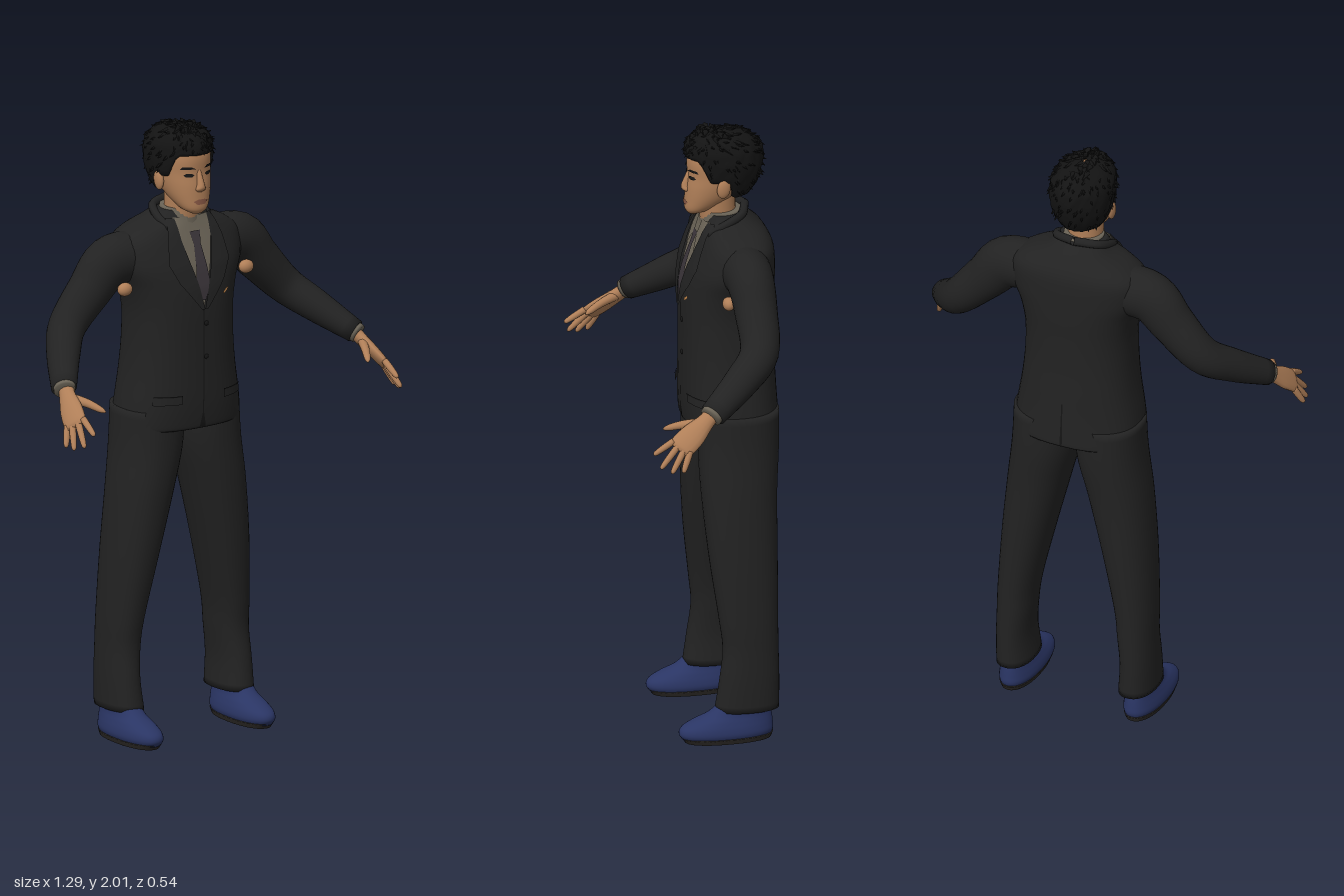
import * as THREE from 'three';
import { mergeGeometries } from 'three/addons/utils/BufferGeometryUtils.js';

const V = (x, y, z) => new THREE.Vector3(x, y, z);
const mat = (name, color) => {
  const m = new THREE.MeshStandardMaterial({ color, side: THREE.DoubleSide });
  m.name = name;
  return m;
};

// Grid of points (rows of equal length) to a smooth geometry; optionally closed round and capped
function grid(rows, closed, capped) {
  const n = rows[0].length, pos = [], idx = [];
  rows.flat().forEach(p => pos.push(p.x, p.y, p.z));
  for (let i = 0; i < rows.length - 1; i++)
    for (let j = 0; j < (closed ? n : n - 1); j++) {
      const k = (j + 1) % n, a = i * n + j, b = i * n + k;
      idx.push(a, a + n, b, b, a + n, b + n);
    }
  if (capped) [0, rows.length - 1].forEach((r, end) => {
    const c = rows[r].reduce((s, p) => s.add(p), V(0, 0, 0)).divideScalar(n);
    const id = pos.length / 3;
    pos.push(c.x, c.y, c.z);
    for (let j = 0; j < n; j++) {
      const a = r * n + j, b = r * n + (j + 1) % n;
      idx.push(id, end ? b : a, end ? a : b);
    }
  });
  const g = new THREE.BufferGeometry();
  g.setAttribute('position', new THREE.Float32BufferAttribute(pos, 3));
  g.setIndex(idx);
  g.computeVertexNormals();
  return g;
}

// Rounded tube through sections [x, y, z, a, b]; rings stay level unless a ref direction is given
function sweep(sections, { ref = null, p = 1, sides = 28, steps = 5 } = {}) {
  const path = new THREE.CatmullRomCurve3(sections.map(s => V(s[0], s[1], s[2])), false, 'catmullrom');
  const size = new THREE.CatmullRomCurve3(sections.map(s => V(s[3], s[4], 0)), false, 'catmullrom');
  const rows = [], count = (sections.length - 1) * steps;
  for (let i = 0; i <= count; i++) {
    const c = path.getPoint(i / count), r = size.getPoint(i / count);
    let s = V(1, 0, 0), n = V(0, 0, 1);
    if (ref) {
      const T = path.getTangent(i / count);
      s = ref.clone().cross(T).normalize();
      n = s.clone().cross(T);
    }
    rows.push(Array.from({ length: sides }, (_, j) => {
      const t = j / sides * Math.PI * 2, f = v => Math.sign(v) * Math.abs(v) ** p;
      return c.clone().addScaledVector(s, r.x * f(Math.cos(t))).addScaledVector(n, r.y * f(Math.sin(t)));
    }));
  }
  return grid(rows, true, true);
}

// Upright form from [y, halfWidth, zFront, zBack, centreX]; can report its surface for draped plates
function form(list, p = 1) {
  const sections = list.map(([y, w, f, b, x = 0]) => [x, y, (f + b) / 2, w, (f - b) / 2]);
  const at = y => {
    let i = 0;
    while (i < list.length - 2 && list[i + 1][0] < y) i++;
    const k = THREE.MathUtils.clamp((y - list[i][0]) / (list[i + 1][0] - list[i][0]), 0, 1);
    return sections[i].map((v, j) => v + (sections[i + 1][j] - v) * k);
  };
  const surface = (x, y, side = 1) => {
    const [, , cz, a, b] = at(y);
    return cz + side * b * Math.max(0, 1 - Math.abs(x / a) ** (2 / p)) ** (p / 2);
  };
  return { geo: sweep(sections, { p, sides: 40 }), at, surface };
}

// Thin plate lying on a form, between x0 and x1 at each row [y, x0, x1]
function drape(base, list, off, side = 1) {
  const rows = [];
  for (let i = 0; i < list.length - 1; i++)
    for (let k = i ? 1 : 0; k <= 5; k++) {
      const [y, a, b] = list[i].map((v, j) => v + (list[i + 1][j] - v) * k / 5);
      rows.push(Array.from({ length: 9 }, (_, j) => {
        const x = a + (b - a) * j / 8;
        return V(x, y, base.surface(x, y, side) + side * off);
      }));
    }
  return grid(rows, false, false);
}

export function createModel() {
  const root = new THREE.Group();
  const suit = mat('suit black', 0x222222), seam = mat('seam black', 0x151515), skin = mat('skin', 0xb07f58),
    hairM = mat('hair', 0x131313), shirt = mat('shirt grey', 0x6a6356), tieM = mat('tie plum', 0x3b353a),
    shoeM = mat('shoe blue', 0x2a3564), soleM = mat('sole', 0x2b2825), lipM = mat('lips', 0x8a5945), pinM = mat('pin', 0xc58a50);
  const add = (name, geo, m) => {
    const mesh = new THREE.Mesh(geo, m);
    mesh.name = name;
    root.add(mesh);
    return mesh;
  };
  const ball = (name, m, x, y, z, a, b, c) => {
    const e = add(name, new THREE.SphereGeometry(1, 20, 14), m);
    e.position.set(x, y, z);
    e.scale.set(a, b, c);
    return e;
  };

  // Jacket
  const jacket = form([[1.015, .212, .03, -.265], [1.03, .214, .035, -.266], [1.1, .205, .04, -.26], [1.2, .189, .04, -.255],
    [1.3, .18, .04, -.25], [1.4, .18, .04, -.25], [1.48, .196, .035, -.252], [1.55, .225, .02, -.25],
    [1.62, .225, -.005, -.245], [1.66, .18, -.02, -.228], [1.69, .11, -.03, -.2], [1.72, .075, -.04, -.165]], .82);
  add('jacket', jacket.geo, suit);
  add('shirtFront', drape(jacket, [[1.7, -.065, .065], [1.62, -.058, .058], [1.52, -.03, .03], [1.42, -.002, .002]], .005), shirt);
  add('tie', drape(jacket, [[1.655, -.02, .02], [1.615, -.013, .013], [1.5, -.026, .026], [1.44, -.007, .007]], .01), tieM);
  add('frontSeam', drape(jacket, [[1.42, -.002, .002], [1.07, -.002, .002], [1.02, -.012, .012]], .003), seam);
  add('backVent', drape(jacket, [[1.17, -.002, .002], [1.02, -.004, .004]], .003, -1), seam);
  add('lapelPin', drape(jacket, [[1.468, .088, .096], [1.458, .074, .09], [1.45, .07, .078]], .017), pinM);
  for (const y of [1.25, 1.36]) ball('button', seam, .012, y, jacket.surface(0, y), .008, .008, .005);

  // Collars and neck
  add('neck', sweep([[0, 1.62, -.09, .06, .06], [0, 1.7, -.08, .057, .058], [0, 1.79, -.075, .058, .06]]), skin);
  add('shirtCollar', sweep([[0, 1.64, -.095, .078, .078], [0, 1.69, -.092, .072, .07], [0, 1.728, -.09, .064, .065]]), shirt);

  for (const s of [1, -1]) {
    const side = s > 0 ? 'left' : 'right', M = (x, y, z) => V(s * x, y, z);
    add(side + 'Lapel', drape(jacket, [[1.7, s * .062, s * .085], [1.63, s * .056, s * .105], [1.56, s * .04, s * .115], [1.5, s * .022, s * .085], [1.41, 0, s * .012]], .012), suit);
    add(side + 'CollarLeaf', drape(jacket, [[1.7, s * .02, s * .066], [1.65, s * .015, s * .062], [1.6, s * .04, s * .048]], .009), shirt);
    add(side + 'PocketFlap', drape(jacket, [[1.13, s * .08, s * .165], [1.105, s * .08, s * .168]], .006), suit);
    add(side + 'PocketSeam', drape(jacket, [[1.134, s * .08, s * .165], [1.13, s * .08, s * .165]], .008), seam);
    const fold = new THREE.CatmullRomCurve3([M(.075, 1.665, -.03), M(.088, 1.695, -.08), M(.07, 1.722, -.14), M(0, 1.732, -.168)]);
    add(side + 'JacketCollar', new THREE.TubeGeometry(fold, 16, .014, 8), suit);

    // Sleeve, cuff and underarm gap
    const ref = V(0, 0, 1);
    add(side + 'Sleeve', sweep([[.14, 1.575, -.125, .08, .085], [.25, 1.563, -.125, .085, .075], [.325, 1.487, -.125, .073, .068],
      [.42, 1.387, -.112, .06, .062], [.49, 1.322, -.035, .052, .055], [.565, 1.25, .075, .037, .043]].map(q => [s * q[0], ...q.slice(1)]), { ref }), suit);
    add(side + 'Cuff', sweep([[s * .555, 1.26, .062, .033, .038], [s * .57, 1.243, .086, .031, .036]], { ref }), shirt);
    ball(side + 'Underarm', skin, s * .235, 1.488, -.058, .026, .022, .02);

    // Hand
    const spread = M(.47, -.47, -.75), palmUp = M(.3, -.6, .7).cross(spread).normalize();
    const part = (name, pts) => add(side + name, sweep(pts.map(q => [s * q[0], ...q.slice(1)]), { ref: palmUp, sides: 14 }), skin);
    part('Palm', [[.555, 1.255, .07, .027, .022], [.57, 1.23, .1, .028, .02], [.587, 1.195, .145, .04, .018],
      [.6, 1.165, .185, .041, .014], [.605, 1.155, .197, .032, .006]]);
    const finger = (name, a, b, r) => {
      const q = k => a.map((v, i) => v + (b[i] - v) * k);
      part(name, [[...q(0), r, r], [...q(.5), r * .95, r * .95], [...q(.9), r * .7, r * .7], [...q(1), r * .2, r * .2]]);
    };
    [['IndexFinger', -.032, [.588, 1.14, .275]], ['MiddleFinger', -.011, [.614, 1.1, .258]],
      ['RingFinger', .011, [.632, 1.088, .226]], ['LittleFinger', .03, [.638, 1.09, .19]]].forEach(([name, k, tip]) =>
      finger(name, [.6 + k * .47, 1.165 - k * .47, .185 - k * .75], tip, .011));
    part('Thumb', [[.568, 1.225, .11, .017, .016], [.54, 1.215, .165, .014, .013], [.518, 1.2, .208, .01, .01], [.509, 1.193, .224, .003, .003]]);

    // Trouser leg and shoe
    const leg = form([[.1, .06, -.018, -.226, .213], [.2, .056, -.033, -.226, .216], [.3, .059, -.045, -.225, .21], [.4, .064, -.035, -.225, .203],
      [.6, .081, -.01, -.23, .175], [.8, .097, .006, -.236, .141], [.95, .107, .01, -.248, .113], [1.08, .108, .01, -.25, .105]].map(q => [...q.slice(0, 4), s * q[4]]), .9);
    add(side + 'TrouserLeg', leg.geo, suit);
    const cx = s * .217;
    add(side + 'Shoe', form([[.012, .056, .09, -.2, cx], [.03, .062, .1, -.206, cx], [.05, .06, .092, -.205, cx],
      [.07, .054, .058, -.203, cx], [.09, .048, .01, -.2, cx], [.12, .045, -.03, -.195, cx]], .9).geo, shoeM);
    add(side + 'Sole', form([[0, .054, .08, -.198, cx], [.018, .06, .094, -.206, cx]], .9).geo, soleM);
  }

  // Head
  const head = form([[1.718, .02, .018, -.02], [1.735, .045, .028, -.06], [1.77, .066, .027, -.12], [1.81, .08, .024, -.17],
    [1.85, .086, .018, -.19], [1.9, .086, .018, -.19], [1.95, .07, 0, -.17], [1.98, .03, -.04, -.13]], .92);
  add('head', head.geo, skin);
  add('nose', sweep([[0, 1.79, .018, .012, .008], [0, 1.8, .024, .018, .014], [0, 1.815, .023, .013, .016], [0, 1.85, .014, .009, .01], [0, 1.865, .012, .004, .004]], { sides: 16 }), skin);
  add('lips', drape(head, [[1.767, -.012, .012], [1.761, -.027, .027], [1.75, -.014, .014]], .003), lipM);
  for (const s of [1, -1]) {
    add('eyebrow', drape(head, [[1.874, s * .03, s * .055], [1.866, s * .015, s * .06]], .004), hairM);
    add('eye', drape(head, [[1.852, s * .028, s * .045], [1.847, s * .02, s * .052], [1.841, s * .028, s * .045]], .003), seam);
    ball('ear', skin, s * .09, 1.822, -.078, .012, .033, .022).rotation.x = -.15;
  }

  // Hair cap with an uneven hairline, then short tufts over it
  const cap = form([[1.76, .06, 0, -.165], [1.8, .084, .01, -.2], [1.85, .098, .02, -.22], [1.9, .103, .027, -.226], [1.94, .098, .027, -.22],
    [1.97, .078, .012, -.19], [1.985, .05, -.02, -.16], [1.993, .008, -.08, -.1]]);
  let seed = 7;
  const rnd = () => (seed = (seed * 16807) % 2147483647) / 2147483647;
  const onCap = (t, v, k = 1) => {
    const f = Math.sin(t), ss = THREE.MathUtils.smoothstep;
    const low = 1.78 + .06 * ss(f, -.3, .1) + .072 * ss(f, .5, .78);
    const y = low + (1.993 - low) * Math.sin(v * Math.PI / 2), [, , cz, a, b] = cap.at(y);
    return V(a * k * Math.cos(t), y, cz + b * k * f);
  };
  const rows = [];
  for (let i = 0; i <= 14; i++)
    rows.push(Array.from({ length: 56 }, (_, j) => onCap(j / 28 * Math.PI, Math.max(0, (i - 1) / 13), i ? .98 + .05 * rnd() : .78)));
  add('hair', grid(rows, true, false), hairM);
  const tufts = [];
  for (let i = 0; i < 200; i++) {
    const t = rnd() * Math.PI * 2, p = onCap(t, .05 + rnd() * .85, .97);
    const d = p.clone().sub(V(0, 1.9, -.1)).normalize().add(V(rnd() - .5, -.4 - rnd() * .6, -.5)).normalize();
    const c = new THREE.ConeGeometry(.011, .034, 5);
    c.applyQuaternion(new THREE.Quaternion().setFromUnitVectors(V(0, 1, 0), d));
    tufts.push(c.translate(p.x, p.y, p.z));
  }
  add('hairTufts', mergeGeometries(tufts), hairM);
  return root;
}
